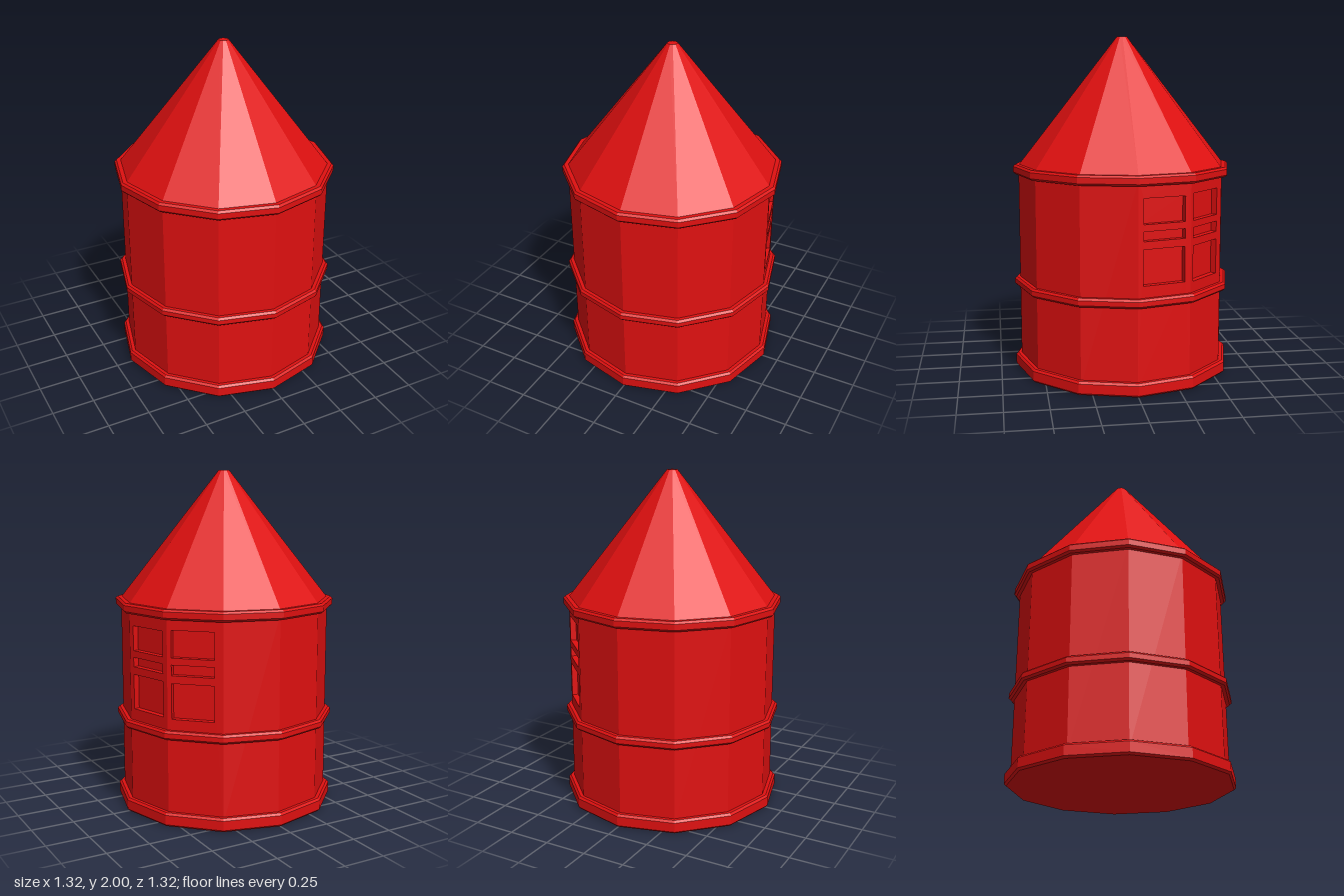
import * as THREE from 'three';

const SIDES = 12;
const R = 0.625; // wall radius at the corners
const STEP = (Math.PI * 2) / SIDES;
const WALL_BOTTOM = 0.04, WALL_TOP = 1.22;
const RECESS = 0.035;

const red = new THREE.MeshStandardMaterial({ color: 0xe01010, flatShading: true });

function add(parent, name, geometry) {
  const mesh = new THREE.Mesh(geometry, red);
  mesh.name = name;
  parent.add(mesh);
  return mesh;
}

// Twelve-sided solid of revolution, profile listed from bottom to top
function lathe(points) {
  return new THREE.LatheGeometry(points.map(([r, y]) => new THREE.Vector2(r, y)), SIDES);
}

// Chamfered hoop around the wall
function hoop(y0, y1) {
  const c = 0.012, inner = 0.6, outer = 0.658;
  return lathe([
    [inner, y0], [outer - c, y0], [outer, y0 + c],
    [outer, y1 - c], [outer - c, y1], [inner, y1],
  ]);
}

function rect(target, x0, x1, y0, y1) {
  target.moveTo(x0, y0);
  target.lineTo(x1, y0);
  target.lineTo(x1, y1);
  target.lineTo(x0, y1);
  target.closePath();
  return target;
}

// One wall facet with three recessed window panes
function windowPanel(angle, x0, x1, rows) {
  const group = new THREE.Group();
  group.name = 'windowPanel';
  const half = R * Math.sin(STEP / 2);
  const apothem = R * Math.cos(STEP / 2);
  const shape = rect(new THREE.Shape(), -half, half, WALL_BOTTOM, WALL_TOP);
  for (const [y0, y1] of rows) {
    shape.holes.push(rect(new THREE.Path(), x0, x1, y0, y1));
  }
  const frame = new THREE.ExtrudeGeometry(shape, { depth: RECESS, bevelEnabled: false });
  frame.translate(0, 0, apothem - RECESS);
  add(group, 'windowFrame', frame);

  for (const [y0, y1] of rows) {
    const pane = new THREE.PlaneGeometry(x1 - x0, y1 - y0);
    pane.translate((x0 + x1) / 2, (y0 + y1) / 2, apothem - RECESS);
    add(group, 'windowPane', pane);
  }
  group.rotation.y = angle;
  return group;
}

export function createModel() {
  const model = new THREE.Group();
  model.name = 'tower';

  // Plain wall facets, leaving a gap for the two window facets
  const wall = new THREE.CylinderGeometry(
    R, R, WALL_TOP - WALL_BOTTOM, SIDES - 2, 1, true, 5 * STEP, (SIDES - 2) * STEP);
  wall.translate(0, (WALL_TOP + WALL_BOTTOM) / 2, 0);
  add(model, 'wall', wall);

  // Window facets on the model's left, towards the back
  model.add(windowPanel(3.5 * STEP, -0.13, 0.125, [[0.63, 0.835], [0.88, 0.935], [0.975, 1.12]]));
  model.add(windowPanel(4.5 * STEP, -0.137, 0.112, [[0.625, 0.83], [0.875, 0.935], [0.975, 1.13]]));

  // Closed base and the two hoops
  add(model, 'base', lathe([
    [0, 0], [0.646, 0], [0.658, 0.012], [0.658, 0.068], [0.646, 0.08], [0.6, 0.08],
  ]));
  add(model, 'middleHoop', hoop(0.51, 0.562));
  add(model, 'eavesHoop', hoop(1.19, 1.248));

  // Conical roof with a small flat tip
  add(model, 'roof', lathe([[0.627, 1.24], [0.036, 1.993], [0.03, 2], [0, 2]]));

  return model;
}
